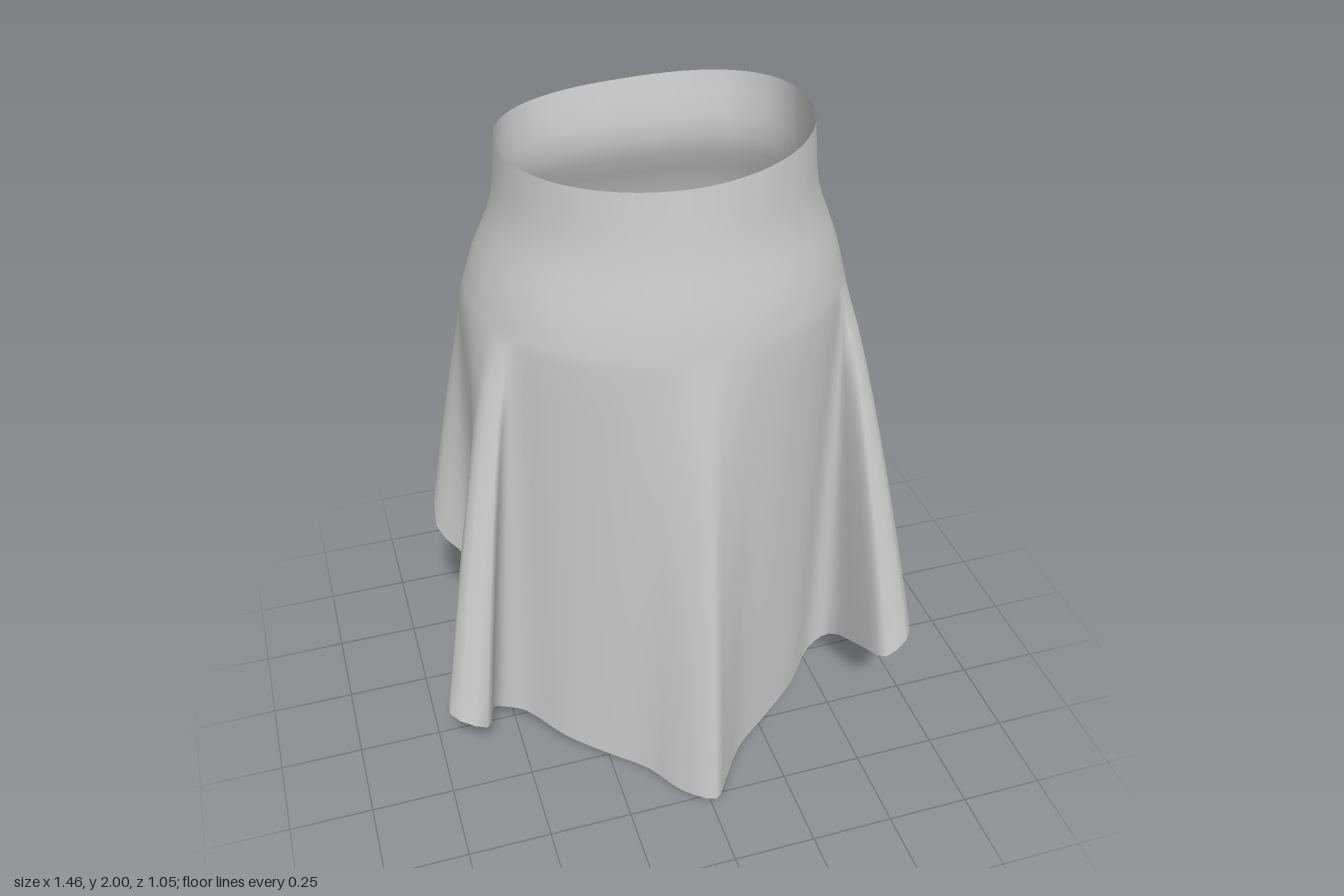
import * as THREE from 'three';

// Hem points: x, z, y and the waist angle (degrees, 0 = front, 90 = +x) each hangs from.
// Left half of the front, from the centre fold to the side; the right half mirrors it
const FRONT = [
  [0.02, 0.52, 0, 0], [0.07, 0.46, 0, 6], [0.15, 0.36, 0.02, 16], [0.27, 0.28, 0.05, 34],
  [0.38, 0.21, 0.09, 47], [0.48, 0.11, 0.13, 54], [0.55, 0.11, 0.17, 57],
  [0.59, 0.25, 0.24, 59], [0.63, 0.37, 0.29, 62], [0.73, 0.32, 0.33, 67], [0.68, 0.2, 0.35, 72],
  [0.57, 0.04, 0.39, 85],
];
// Left back fold
const LEFT_BACK = [
  [0.58, -0.15, 0.48, 100], [0.63, -0.28, 0.57, 107], [0.72, -0.37, 0.63, 111],
  [0.72, -0.41, 0.85, 115], [0.66, -0.445, 1.0, 120], [0.48, -0.37, 1.12, 134],
];
// Raised back panel
const BACK = [
  [0.4, -0.48, 1.18, 143], [0.23, -0.515, 1.21, 160], [0, -0.5, 1.24, 180],
  [-0.2, -0.51, 1.21, 199], [-0.4, -0.525, 1.17, 217],
];
// Right back fold
const RIGHT_BACK = [
  [-0.46, -0.4, 1.13, 223], [-0.51, -0.35, 1.03, 229], [-0.6, -0.35, 0.85, 237],
  [-0.65, -0.28, 0.62, 245], [-0.57, -0.17, 0.54, 256],
];

// The right front fold swings a little further back than the left one
const mirrorFront = ([x, z, y, angle]) =>
  [-x, x > 0.58 ? z - 0.08 : z, y, 360 - angle];

const HEM = FRONT.concat(LEFT_BACK, BACK, RIGHT_BACK, FRONT.slice(1).reverse().map(mirrorFront));

// Widening of the waist outline at each height: y, x scale, front scale, back scale
const RINGS = [
  [1.98, 1, 1, 1],
  [1.8, 1.05, 1.06, 0.93],
  [1.63, 1.2, 1.16, 1.12],
  [1.5, 1.29, 1.2, 1.23],
];

const signedPow = (v, e) => Math.sign(v) * Math.abs(v) ** e;

// Waist outline: widest behind the middle, tapered in front and squarer at the back
function waistPoint(angle) {
  const s = Math.sin(angle), c = Math.cos(angle);
  const [depth, e] = c < 0 ? [0.295, 0.82] : [0.39, 1.03];
  return [0.01 + 0.42 * signedPow(s, e), -0.08 + depth * signedPow(c, e)];
}

// Points of one cloth line from the slightly tilted waist to the hip
function fittedLine(angle) {
  const [x, z] = waistPoint(angle);
  return RINGS.map(([y, sx, front, back], i) =>
    new THREE.Vector3(x * sx, i === 0 ? y + x * 0.036 : y, z * (z > 0 ? front : back)));
}

export function createModel() {
  const hemCurve = new THREE.CatmullRomCurve3(HEM.map(([x, z, y]) => new THREE.Vector3(x, y, z)), true);
  const perSpan = 3, upper = 9, lower = 10;
  const columns = HEM.length * perSpan;
  const rows = upper + lower + 1;
  const positions = [], index = [];

  for (let i = 0; i < columns; i++) {
    const k = Math.floor(i / perSpan), f = (i % perSpan) / perSpan;
    const a0 = HEM[k][3], a1 = k + 1 < HEM.length ? HEM[k + 1][3] : 360;
    const hem = hemCurve.getPoint(i / columns);
    hem.y = Math.max(0, hem.y);
    const points = fittedLine(THREE.MathUtils.degToRad(a0 + (a1 - a0) * f));
    const fitted = new THREE.CatmullRomCurve3(points);
    const hip = points[points.length - 1];
    for (let j = 0; j < rows; j++) {
      // smooth waist-to-hip part, then a hang whose folds open fastest near the hip
      const t = Math.max(0, (j - upper) / lower), open = t ** 0.82;
      const p = j <= upper ? fitted.getPoint(j / upper) : new THREE.Vector3(
        THREE.MathUtils.lerp(hip.x, hem.x, open),
        THREE.MathUtils.lerp(hip.y, hem.y, t),
        THREE.MathUtils.lerp(hip.z, hem.z, open));
      positions.push(p.x, p.y, p.z);
      if (j === rows - 1) continue;
      const a = i * rows + j, b = ((i + 1) % columns) * rows + j;
      index.push(a, a + 1, b, b, a + 1, b + 1);
    }
  }

  const geometry = new THREE.BufferGeometry();
  geometry.setAttribute('position', new THREE.Float32BufferAttribute(positions, 3));
  geometry.setIndex(index);
  geometry.computeVertexNormals();

  const skirt = new THREE.Mesh(geometry,
    new THREE.MeshStandardMaterial({ color: 0xcccccc, side: THREE.DoubleSide }));
  skirt.name = 'skirt';

  const group = new THREE.Group();
  group.name = 'drapedSkirt';
  group.add(skirt);
  return group;
}
